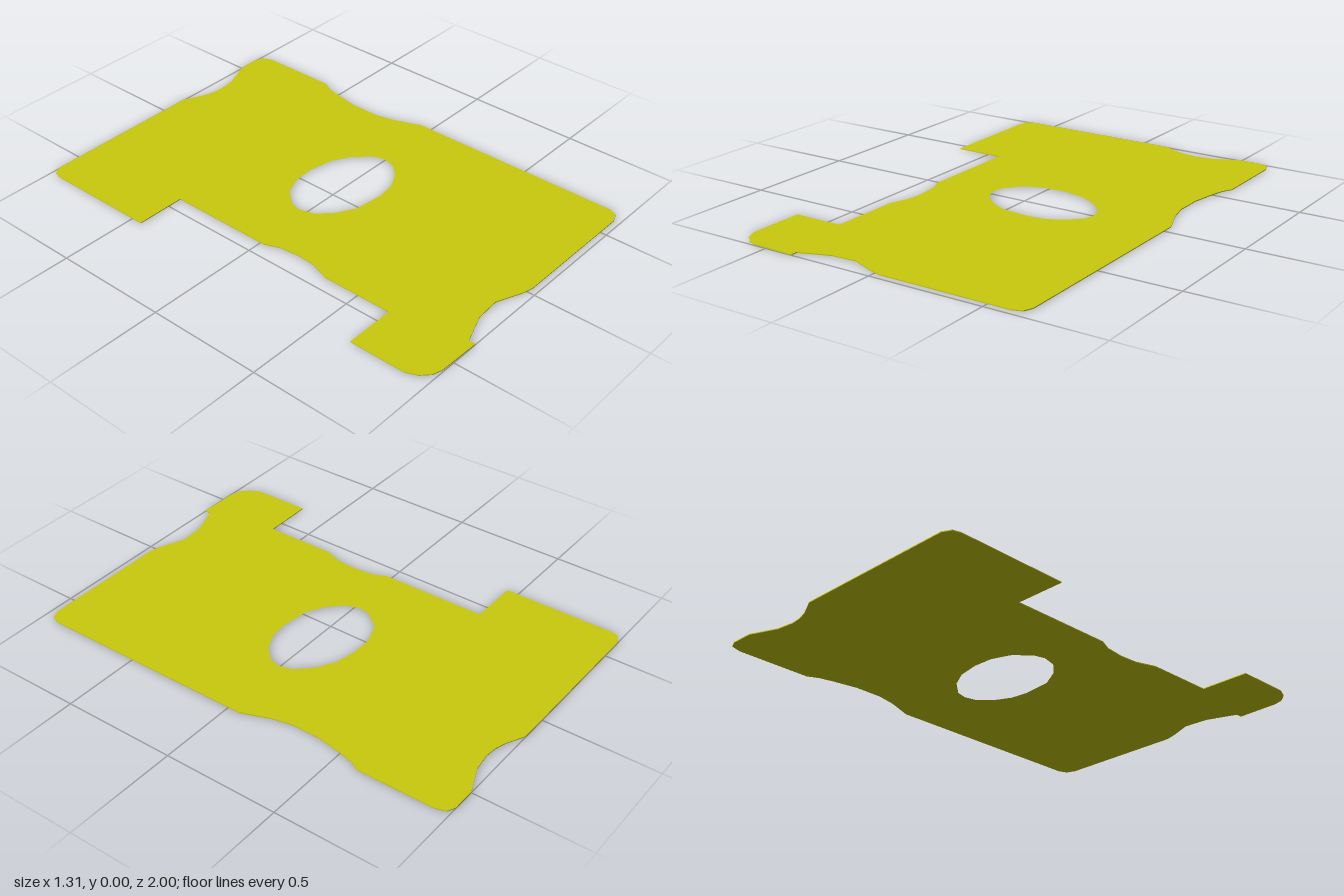
import * as THREE from 'three';

const THICKNESS = 0.004;

// Points are given as [x, z] in plan; z is flipped so the plate can be laid flat.
const plan = (points) => points.map(([x, z]) => new THREE.Vector2(x, -z));

export function createModel() {
  const model = new THREE.Group();
  model.name = 'cutPlate';

  const yellow = new THREE.MeshStandardMaterial({ color: 0xcaca0e });
  yellow.name = 'yellow';

  // Outer outline
  const outline = new THREE.Shape(plan([
    // back edge with a shallow scoop
    [-0.655, -0.95], [-0.645, -0.982], [-0.61, -1], [0.12, -1], [0.2, -0.96], [0.25, -0.945],
    [0.3, -0.94], [0.38, -0.95], [0.5, -1], [0.6, -1], [0.632, -0.985], [0.647, -0.94],
    // left-hand (+x) side with a long scoop
    [0.648, -0.605], [0.625, -0.56], [0.61, -0.5], [0.59, -0.385], [0.59, -0.26],
    [0.61, -0.17], [0.655, -0.055], [0.655, 0.92], [0.64, 0.957], [0.6, 0.973],
    // front edge with a scoop and a small step
    [0.03, 0.973], [-0.013, 0.963], [-0.13, 0.915], [-0.24, 0.922], [-0.37, 0.97], [-0.37, 1],
    [-0.56, 0.995], [-0.6, 0.982], [-0.635, 0.948], [-0.655, 0.9],
    // right-hand (-x) side with its deep rectangular notch
    [-0.655, 0.652], [-0.435, 0.652], [-0.435, 0.34], [-0.405, 0.25], [-0.4, 0.17],
    [-0.41, 0.08], [-0.435, 0.02], [-0.435, -0.45], [-0.655, -0.45],
  ]));

  // Oval opening
  outline.holes.push(new THREE.Path(plan([
    [-0.172, -0.035], [-0.16, -0.08], [-0.1, -0.15], [-0.013, -0.183], [0.08, -0.185],
    [0.18, -0.165], [0.26, -0.12], [0.325, -0.05], [0.338, 0], [0.325, 0.055],
    [0.27, 0.11], [0.2, 0.145], [0.12, 0.155], [-0.013, 0.14], [-0.1, 0.09], [-0.155, 0.03],
  ])));

  // Thin plate lying on the ground
  const geometry = new THREE.ExtrudeGeometry(outline, { depth: THICKNESS, bevelEnabled: false });
  geometry.rotateX(-Math.PI / 2);
  const plate = new THREE.Mesh(geometry, yellow);
  plate.name = 'plate';
  model.add(plate);

  return model;
}
